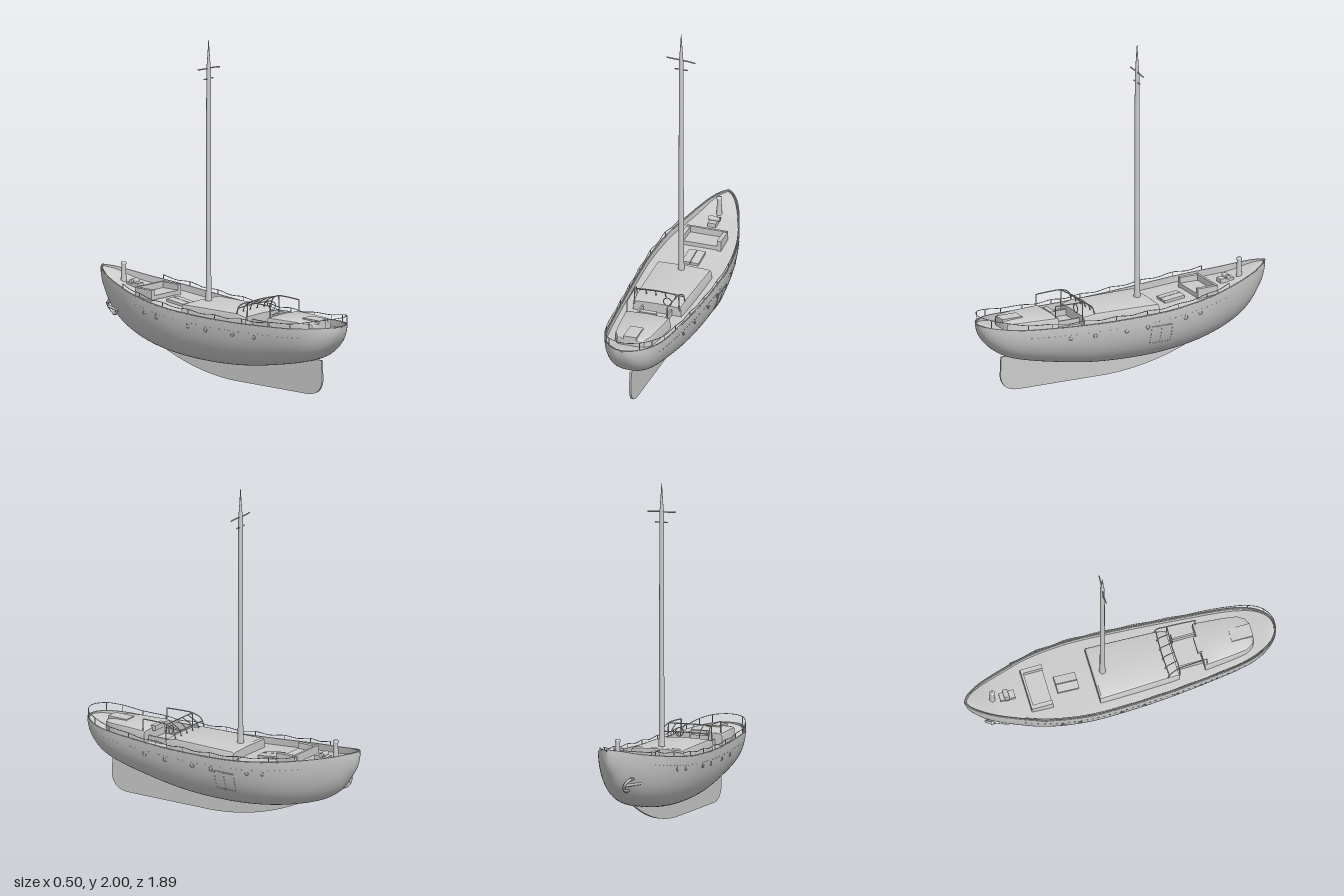
import * as THREE from 'three';
import { toCreasedNormals } from 'three/addons/utils/BufferGeometryUtils.js';

const V = (x, y, z) => new THREE.Vector3(x, y, z);

// Hull stations: z, half width, sheer height, bottom height
const ST = [
  [-0.945, 0.004, 0.545, 0.535], [-0.925, 0.035, 0.538, 0.45], [-0.89, 0.065, 0.53, 0.385],
  [-0.82, 0.105, 0.512, 0.29], [-0.7, 0.152, 0.487, 0.21], [-0.5, 0.214, 0.455, 0.15],
  [-0.25, 0.246, 0.425, 0.112], [0, 0.242, 0.41, 0.102], [0.25, 0.227, 0.405, 0.115],
  [0.5, 0.205, 0.41, 0.155], [0.7, 0.182, 0.418, 0.2], [0.8, 0.157, 0.426, 0.238],
  [0.87, 0.122, 0.432, 0.29], [0.915, 0.082, 0.436, 0.345], [0.938, 0.042, 0.438, 0.395],
  [0.945, 0.004, 0.438, 0.43],
];
const slope = (i, c) => {
  const a = ST[Math.max(i - 1, 0)], b = ST[Math.min(i + 1, ST.length - 1)];
  return (b[c] - a[c]) / (b[0] - a[0]);
};
// Smooth interpolation of one station column
function at(z, c) {
  let i = 0;
  while (i < ST.length - 2 && z > ST[i + 1][0]) i++;
  const h = ST[i + 1][0] - ST[i][0], t = THREE.MathUtils.clamp((z - ST[i][0]) / h, 0, 1);
  const t2 = t * t, t3 = t2 * t;
  return (2 * t3 - 3 * t2 + 1) * ST[i][c] + (t3 - 2 * t2 + t) * h * slope(i, c)
    + (3 * t2 - 2 * t3) * ST[i + 1][c] + (t3 - t2) * h * slope(i + 1, c);
}
const width = z => at(z, 1), sheer = z => at(z, 2), bottom = z => at(z, 3);
const fullness = z => THREE.MathUtils.lerp(1.05, 0.74, THREE.MathUtils.smoothstep(z, -0.9, -0.4));
function hullX(z, y) {
  const d = THREE.MathUtils.clamp((sheer(z) - y) / (sheer(z) - bottom(z)), 0, 1);
  return width(z) * Math.pow(Math.sqrt(1 - d * d), fullness(z));
}
// Deck height inside the bulwark, which gets lower towards both ends
const deckY = z => sheer(z) - 0.036 * (1 - 0.8 * THREE.MathUtils.smoothstep(Math.abs(z), 0.75, 0.945));

// Surface through rows of points
function loft(rows, crease) {
  const n = rows[0].length, idx = [];
  for (let i = 0; i < rows.length - 1; i++) for (let j = 0; j < n - 1; j++) {
    const a = i * n + j, b = a + n;
    idx.push(a, b, a + 1, a + 1, b, b + 1);
  }
  const g = new THREE.BufferGeometry().setFromPoints(rows.flat());
  g.setIndex(idx);
  g.computeVertexNormals();
  return crease ? toCreasedNormals(g, crease) : g;
}

export function createModel() {
  const root = new THREE.Group();
  const gray = new THREE.MeshStandardMaterial({ color: 0xcccccc, side: THREE.DoubleSide });
  gray.name = 'paintedGray';
  const add = (name, g, x = 0, y = 0, z = 0, parent = root) => {
    const mesh = new THREE.Mesh(g, gray);
    mesh.name = name;
    mesh.position.set(x, y, z);
    parent.add(mesh);
    return mesh;
  };
  const box = (name, w, h, d, x, y, z) => add(name, new THREE.BoxGeometry(w, h, d), x, y, z);
  const tube = (name, pts, r, n = 24) =>
    add(name, new THREE.TubeGeometry(new THREE.CatmullRomCurve3(pts), n, r, 6));
  const lathe = (pts, n) => new THREE.LatheGeometry(pts.map(p => new THREE.Vector2(...p)), n);

  const zs = Array.from({ length: 81 }, (_, i) => -0.945 * Math.cos(Math.PI * i / 80));

  // Hull shell
  add('hull', loft(zs.map(z => Array.from({ length: 41 }, (_, j) => {
    const t = Math.PI * j / 40, c = Math.cos(t);
    const x = width(z) * Math.sign(c) * Math.pow(Math.abs(c), fullness(z));
    return V(x, sheer(z) - (sheer(z) - bottom(z)) * Math.sin(t), z);
  }))));

  // Deck, with the bulwark's inner side and a rounded cap rail
  add('deck', loft(zs.map(z => {
    const w = Math.max(width(z) - 0.009, 0.001);
    return [-1, -1, -0.5, 0, 0.5, 1, 1].map((k, j) =>
      V(k * w, j === 0 || j === 6 ? sheer(z) : deckY(z) + 0.005 * (1 - k * k), z * 0.992));
  }), 0.6));
  const edge = zs.map(z => V(Math.max(width(z) - 0.003, 0.001), sheer(z), z * 0.998));
  const rim = [...edge, ...edge.slice(1, -1).reverse().map(p => V(-p.x, p.y, p.z))];
  add('capRail', new THREE.TubeGeometry(new THREE.CatmullRomCurve3(rim, true), 200, 0.004, 6, true));

  // Keel fin
  const fin = new THREE.Shape();
  fin.moveTo(0.79, 0.215);
  fin.lineTo(0.795, 0.1);
  fin.bezierCurveTo(0.79, 0.03, 0.74, 0.004, 0.68, 0.002);
  fin.lineTo(0.1, 0);
  fin.bezierCurveTo(-0.12, 0.005, -0.35, 0.06, -0.56, 0.17);
  fin.lineTo(-0.3, 0.15);
  fin.lineTo(0, 0.13);
  fin.lineTo(0.5, 0.2);
  fin.lineTo(0.72, 0.218);
  const finGeo = new THREE.ExtrudeGeometry(fin, { depth: 0.012, bevelEnabled: false, curveSegments: 16 });
  finGeo.rotateY(-Math.PI / 2).translate(0.006, 0, 0);
  add('keel', finGeo);

  // Row of small scuppers and porthole rims on both sides
  for (const s of [-1, 1]) {
    for (let z = -0.62; z < 0.75; z += 0.035) {
      const y = sheer(z) - 0.052;
      box('scupper', 0.003, 0.003, 0.012, s * hullX(z, y), y, z);
    }
    for (const z of [0.435, 0.28, 0.08, -0.055, -0.305, -0.405]) {
      const y = sheer(z) - 0.073;
      add('portholeRim', new THREE.TorusGeometry(0.012, 0.0025, 6, 20).rotateY(Math.PI / 2), s * hullX(z, y), y, z);
    }
  }

  // Side hatch: raised plate and frame that follow the hull
  add('sideHatch', loft(Array.from({ length: 13 }, (_, i) => {
    const z = -0.22 + 0.145 * i / 12;
    return Array.from({ length: 9 }, (_, j) => {
      const y = 0.225 + 0.11 * j / 8;
      return V(hullX(z, y) + 0.002, y, z);
    });
  })));
  for (const z of [-0.08, -0.145, -0.215]) {
    tube('hatchFrame', [0.225, 0.28, 0.335].map(y => V(hullX(z, y) + 0.001, y, z)), 0.003, 8);
  }
  for (const y of [0.225, 0.335]) {
    tube('hatchFrame', [-0.215, -0.145, -0.08].map(z => V(hullX(z, y) + 0.001, y, z)), 0.003, 8);
  }

  // Deckhouses: rounded trunks from sections [z, half width, top]
  const trunk = (name, secs) => {
    const rows = secs.map(([z, w, t]) => [[-1, 0.365], [-0.98, t - 0.014], [-0.95, t - 0.004], [-0.85, t],
      [0, t + 0.004], [0.85, t], [0.95, t - 0.004], [0.98, t - 0.014], [1, 0.365]].map(([k, y]) => V(k * w, y, z)));
    const cap = r => r.map(p => V(p.x, r[0].y, p.z));
    return add(name, loft([cap(rows[0]), ...rows, cap(rows.at(-1))], 0.6));
  };
  trunk('mainCabin', [[-0.165, 0.17, 0.437], [-0.155, 0.17, 0.444], [0.05, 0.163, 0.445],
    [0.25, 0.155, 0.445], [0.32, 0.15, 0.43]]);
  trunk('aftCabin', [[0.48, 0.14, 0.445], [0.49, 0.14, 0.45], [0.65, 0.125, 0.45],
    [0.74, 0.113, 0.448], [0.785, 0.085, 0.443], [0.8, 0.05, 0.438]]);
  box('aftHatch', 0.08, 0.02, 0.13, 0, 0.449, 0.735);
  box('companionStep', 0.1, 0.03, 0.03, 0, 0.445, 0.475);

  // Cockpit sides and shelter frame
  for (const s of [-1, 1]) {
    box('cockpitSide', 0.01, 0.045, 0.17, s * 0.088, 0.388, 0.4);
    tube('shelterSide', [V(s * 0.148, 0.44, 0.25), V(s * 0.145, 0.49, 0.27), V(s * 0.135, 0.515, 0.32),
      V(s * 0.13, 0.519, 0.4), V(s * 0.125, 0.517, 0.49)], 0.0035);
    tube('shelterPost', [V(s * 0.125, 0.41, 0.495), V(s * 0.125, 0.517, 0.495)], 0.0035, 2);
    tube('shelterPost', [V(s * 0.14, 0.41, 0.325), V(s * 0.135, 0.515, 0.325)], 0.0035, 2);
  }
  for (const [z, w, y] of [[0.26, 0.147, 0.475], [0.325, 0.135, 0.515]]) {
    tube('shelterBar', [V(-w, y, z), V(0, y + 0.004, z - 0.006), V(w, y, z)], 0.0035);
  }
  for (const x of [-0.09, -0.03, 0.03, 0.09]) {
    tube('windscreenRib', [V(x, 0.447, 0.25), V(x, 0.48, 0.262), V(x * 0.95, 0.517, 0.325)], 0.003, 8);
  }
  add('steeringWheel', new THREE.TorusGeometry(0.025, 0.003, 6, 20), 0.07, 0.465, 0.335);

  // Mast with spreaders
  add('mast', lathe([[0.02, 0.42], [0.02, 0.455], [0.0165, 0.5], [0.0155, 0.6], [0.0135, 1.82],
    [0.009, 1.88], [0.0015, 2]], 20), 0, 0, -0.105);
  tube('upperSpreader', [V(-0.09, 1.835, -0.108), V(-0.04, 1.832, -0.108), V(0.04, 1.832, -0.102), V(0.09, 1.828, -0.1)], 0.004);
  tube('lowerSpreader', [V(-0.04, 1.77, -0.105), V(0.04, 1.77, -0.105)], 0.004, 2);

  // Foredeck: skylight, U-shaped bench, windlass and bollard
  for (const s of [-1, 1]) {
    box('skylightPanel', 0.049, 0.02, 0.13, s * 0.026, 0.41, -0.325).rotation.set(0.12, 0, -s * 0.06);
    box('benchEnd', 0.025, 0.065, 0.13, s * 0.115, 0.447, -0.505);
    add('windlassDrum', new THREE.CylinderGeometry(0.013, 0.013, 0.014, 14).rotateZ(Math.PI / 2), s * 0.027, 0.482, -0.69);
  }
  box('benchSeat', 0.21, 0.025, 0.12, 0, 0.432, -0.5);
  box('benchBack', 0.25, 0.068, 0.014, 0, 0.449, -0.563);
  box('windlassBase', 0.05, 0.025, 0.09, 0, 0.463, -0.685);
  add('windlassBody', new THREE.CylinderGeometry(0.016, 0.016, 0.04, 14).rotateZ(Math.PI / 2), 0, 0.482, -0.69);
  add('bollard', lathe([[0.02, 0.46], [0.016, 0.49], [0.013, 0.565], [0.016, 0.57], [0.016, 0.582], [0, 0.586]], 16), 0, 0, -0.775);

  // Guard rails: stanchions joined by a sagging line around the stern
  const posts = [-0.62, -0.45, -0.25, -0.05, 0.15, 0.35, 0.55, 0.7, 0.82, 0.9];
  const top = z => sheer(z) + 0.028 + 0.024 * THREE.MathUtils.smoothstep(z, 0.65, 0.95);
  const rail = [];
  for (const z of posts) {
    const w = width(z) - 0.004;
    for (const s of [-1, 1]) tube('stanchion', [V(s * w, sheer(z) - 0.01, z), V(s * w, top(z), z)], 0.0028, 2);
    rail.push(V(w, top(z), z));
  }
  const half = [];
  rail.forEach((p, i) => {
    half.push(p);
    if (i < 6) half.push(p.clone().lerp(rail[i + 1], 0.5).add(V(0, -0.01, 0)));
  });
  const mirrored = half.map(p => V(-p.x, p.y, p.z)).reverse();
  tube('guardRail', [...half, V(0, top(0.94), 0.94), ...mirrored], 0.0022, 160);

  // Anchor stowed flat against one bow
  const anchor = new THREE.Group();
  anchor.name = 'anchor';
  anchor.position.set(-hullX(-0.77, 0.32) - 0.004, 0.32, -0.77);
  anchor.rotation.set(Math.PI / 2, -0.4, 0.5, 'YZX');
  root.add(anchor);
  add('shank', new THREE.CylinderGeometry(0.007, 0.009, 0.14, 8), 0, 0, 0, anchor);
  add('arms', new THREE.TorusGeometry(0.042, 0.008, 6, 16, Math.PI).rotateZ(Math.PI).rotateY(Math.PI / 2), 0, -0.025, 0, anchor);
  for (const s of [-1, 1]) add('fluke', new THREE.ConeGeometry(0.014, 0.036, 4), 0, -0.015, s * 0.042, anchor);
  return root;
}
